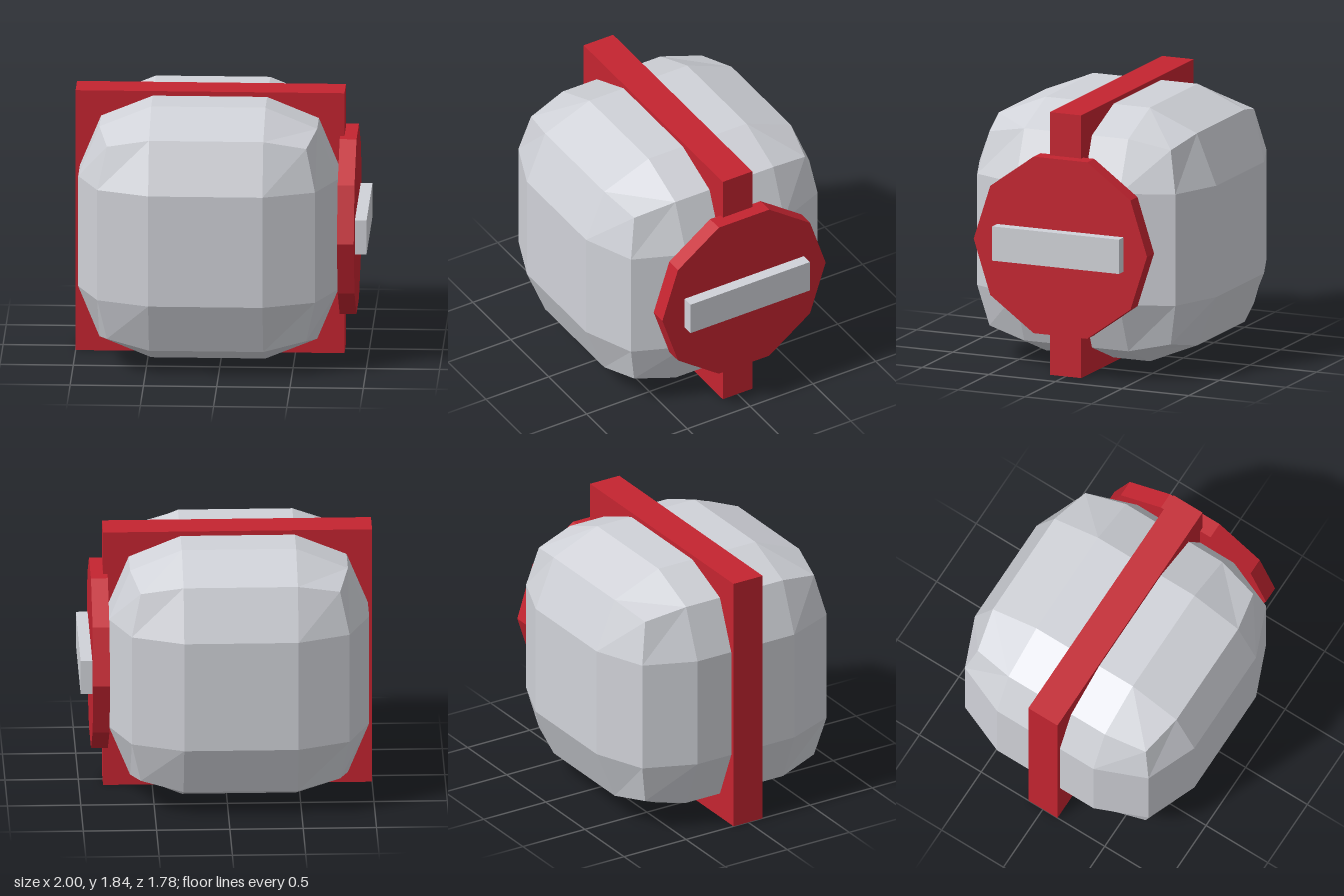
import * as THREE from 'three';

const CX = -0.083, CY = 0.92; // body centre

export function createModel() {
  const model = new THREE.Group();
  const grey = new THREE.MeshStandardMaterial({ color: 0xd0d2d8, flatShading: true });
  grey.name = 'light grey';
  const red = new THREE.MeshStandardMaterial({ color: 0xc42430, flatShading: true });
  red.name = 'red';

  const add = (name, geometry, material, x, y, z) => {
    const mesh = new THREE.Mesh(geometry, material);
    mesh.name = name;
    mesh.position.set(x, y, z);
    model.add(mesh);
    return mesh;
  };

  // Rounded body: a 3x3x3 box whose face, edge and corner points sit at different distances
  const bodyGeometry = new THREE.BoxGeometry(3, 3, 3, 3, 3, 3);
  const reach = [0, 0.888, 0.743, 0.68];
  const points = bodyGeometry.attributes.position;
  for (let i = 0; i < points.count; i++) {
    const p = [points.getX(i), points.getY(i), points.getZ(i)];
    const outer = p.filter((v) => Math.abs(v) > 1).length;
    points.setXYZ(i, ...p.map((v) => Math.sign(v) * (Math.abs(v) > 1 ? reach[outer] : 0.39)));
  }
  bodyGeometry.computeVertexNormals();
  add('body', bodyGeometry, grey, CX, CY, 0);

  // Square band around the middle
  add('band', new THREE.BoxGeometry(1.835, 1.84, 0.235), red, CX, CY, 0);

  // Ten-sided cap on the left side
  const capGeometry = new THREE.CylinderGeometry(0.65, 0.65, 0.115, 10);
  capGeometry.rotateZ(-Math.PI / 2);
  add('cap', capGeometry, red, 0.8625, CY, 0);

  // Raised grip bar on the cap
  add('gripBar', new THREE.BoxGeometry(0.09, 0.24, 0.95), grey, 0.955, CY, 0);

  return model;
}
